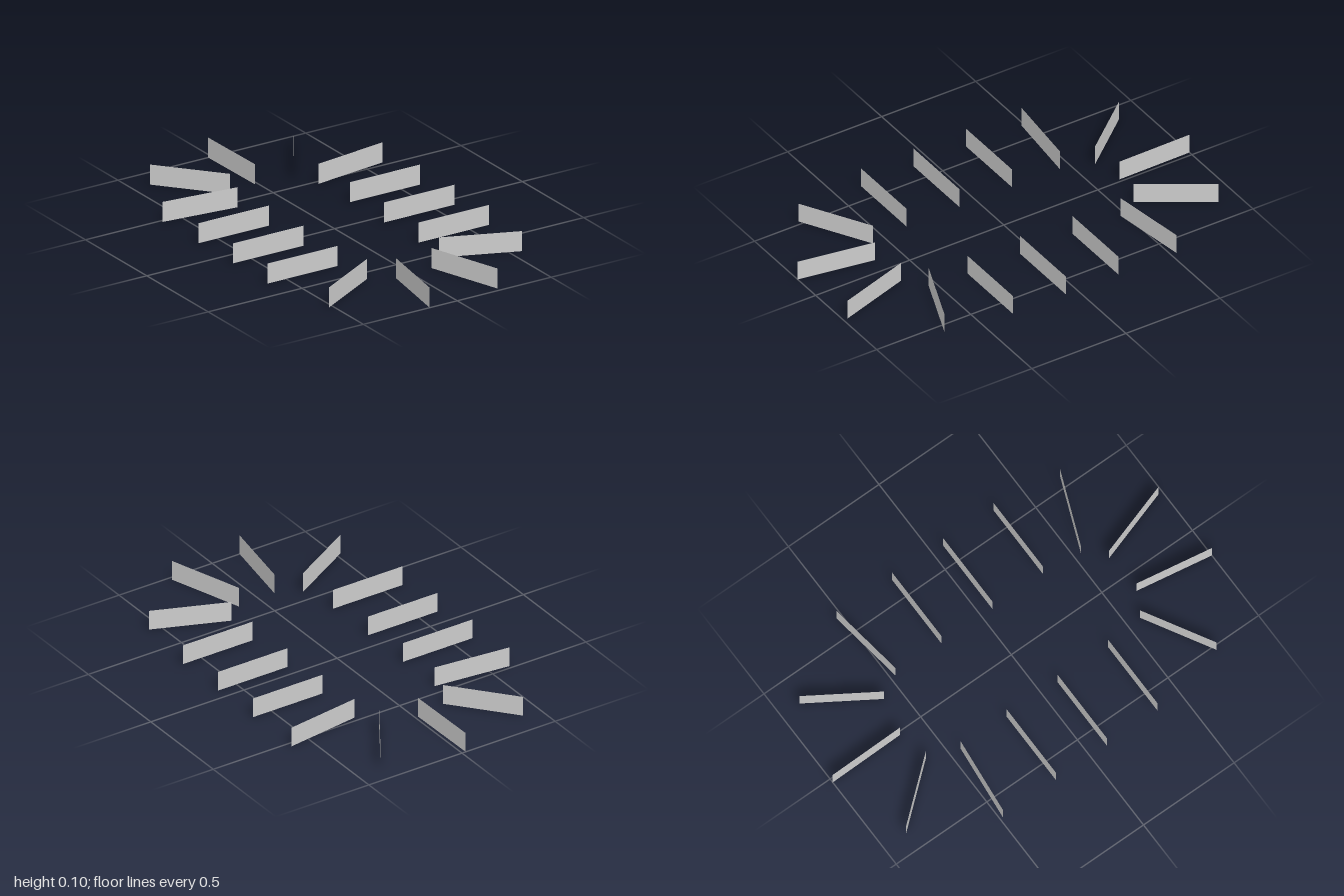
import * as THREE from 'three';

const HEIGHT = 0.097;

// Upright paper-thin panel running from an inner to an outer point on the ground
function panel(name, [x0, z0, x1, z1], material) {
  const geometry = new THREE.PlaneGeometry(Math.hypot(x1 - x0, z1 - z0), HEIGHT);
  const mesh = new THREE.Mesh(geometry, material);
  mesh.name = name;
  mesh.position.set((x0 + x1) / 2, HEIGHT / 2, (z0 + z1) / 2);
  mesh.rotation.y = Math.atan2(z0 - z1, x1 - x0);
  return mesh;
}

export function createModel() {
  const model = new THREE.Group();
  model.name = 'panelRing';
  const material = new THREE.MeshStandardMaterial({
    color: 0xcccccc, side: THREE.DoubleSide, flatShading: true,
  });

  // Straight sides: parallel panels spaced evenly along z
  const inner = 0.225, outer = 0.6, step = 0.28;
  for (let i = 0; i < 3; i++) {
    const zl = 0.34 - i * step, zr = 0.37 - i * step;
    model.add(panel(`leftSidePanel${i + 1}`, [inner, zl, outer, zl], material));
    model.add(panel(`rightSidePanel${i + 1}`, [-inner, zr, -outer, zr], material));
  }

  // Rounded ends: fanned panels, [inner x, inner z, outer x, outer z]
  const ends = {
    front: [
      [-0.197, 0.567, -0.522, 0.753],
      [-0.085, 0.63, -0.147, 1.0],
      [0.112, 0.62, 0.228, 0.98],
      [0.207, 0.535, 0.556, 0.675],
    ],
    back: [
      [0.225, -0.475, 0.6, -0.528],
      [0.165, -0.582, 0.37, -0.9],
      [-0.015, -0.625, -0.02, -1.0],
      [-0.17, -0.594, -0.408, -0.878],
      [-0.225, -0.445, -0.6, -0.485],
    ],
  };
  for (const [end, rows] of Object.entries(ends)) {
    rows.forEach((row, i) => model.add(panel(`${end}FanPanel${i + 1}`, row, material)));
  }
  return model;
}
